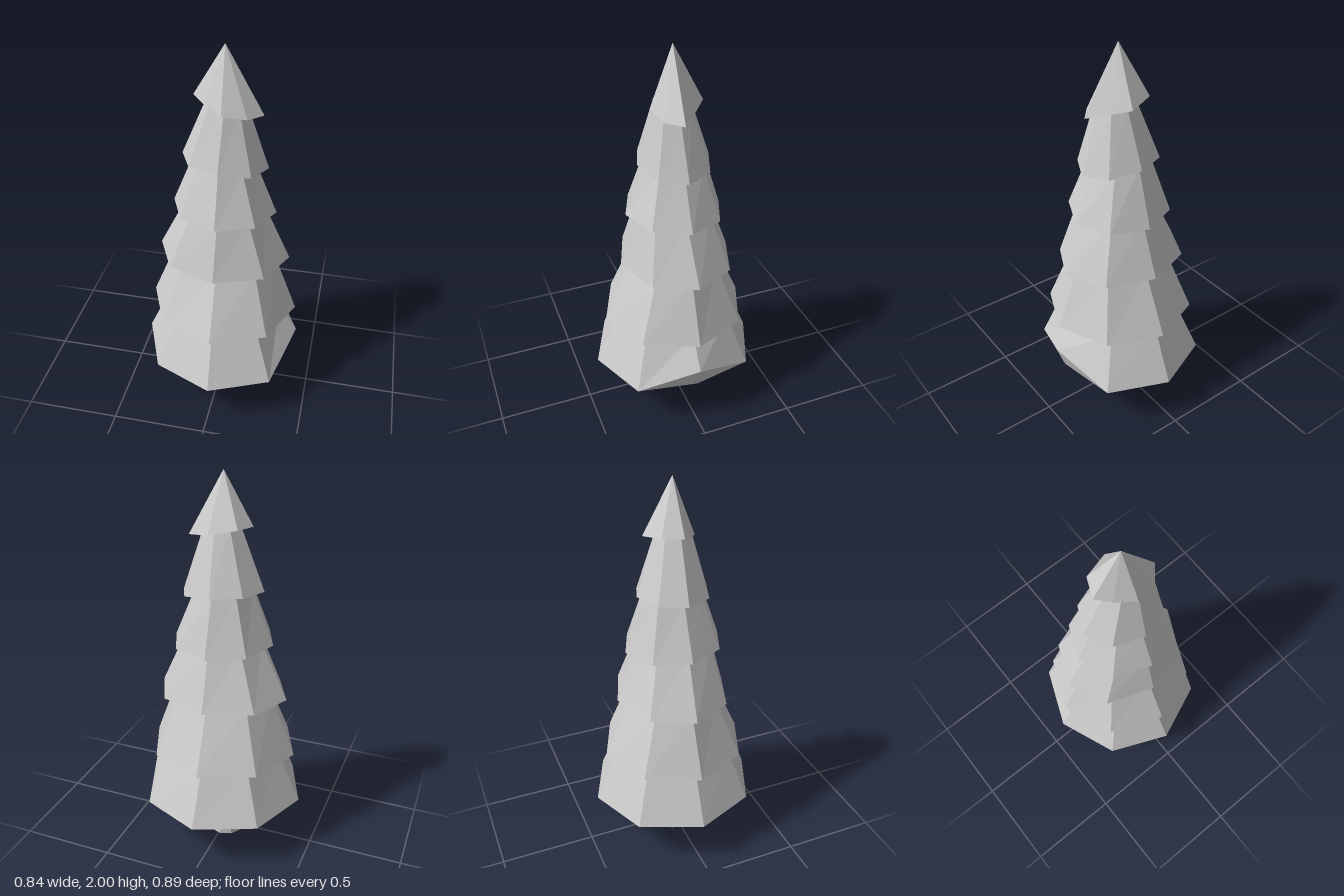
import * as THREE from 'three';

const SIDES = 8;

// Eight-sided ring spanning x0..x1 and z0..z1; height is a number or a rule of x and z
function ring(x0, x1, z0, z1, height) {
  const points = [];
  for (let i = 0; i < SIDES; i++) {
    const a = (i / SIDES) * Math.PI * 2;
    const x = (x0 + x1) / 2 + (Math.cos(a) * (x1 - x0)) / 2;
    const z = (z0 + z1) / 2 + (Math.sin(a) * (z1 - z0)) / 2;
    const y = typeof height === 'function' ? height(x, z) : height;
    points.push(new THREE.Vector3(x, y, z));
  }
  return points;
}

// Skin a stack of rings (lowest first) and close the underside
function loft(rings) {
  const pos = [];
  const tri = (a, b, c) => {
    if (a.equals(b) || b.equals(c) || a.equals(c)) return;
    for (const p of [a, b, c]) pos.push(p.x, p.y, p.z);
  };
  const centre = new THREE.Vector3();
  rings[0].forEach((p) => centre.addScaledVector(p, 1 / SIDES));
  for (let i = 0; i < SIDES; i++) {
    const j = (i + 1) % SIDES;
    tri(centre, rings[0][i], rings[0][j]);
    for (let k = 0; k < rings.length - 1; k++) {
      const lo = rings[k], hi = rings[k + 1];
      tri(lo[i], hi[i], lo[j]);
      tri(lo[j], hi[i], hi[j]);
    }
  }
  const geometry = new THREE.BufferGeometry();
  geometry.setAttribute('position', new THREE.Float32BufferAttribute(pos, 3));
  geometry.computeVertexNormals();
  return geometry;
}

export function createModel() {
  const tree = new THREE.Group();
  tree.name = 'pineTree';
  const material = new THREE.MeshStandardMaterial({ color: 0xcccccc, flatShading: true });
  const add = (name, geometry) => {
    const mesh = new THREE.Mesh(geometry, material);
    mesh.name = name;
    tree.add(mesh);
    return mesh;
  };

  // Trunk
  add('trunk', new THREE.CylinderGeometry(0.1, 0.1, 0.27, 10)).position.set(-0.01, 0.135, -0.02);

  // Lowest tier, with one corner bent up
  const base = ring(-0.423, 0.45, -0.447, 0.443, 0.26);
  const hem = base.map((p) => p.clone());
  base[0].set(0.38, 0.26, 0);
  hem[0].set(0.42, 0.38, 0);
  add('branchTier1', loft([base, hem, ring(-0.295, 0.318, -0.322, 0.322, 0.545)]));

  // Middle tiers: lower ring, upper ring
  const tiers = [
    [[-0.383, 0.405, -0.383, 0.38, 0.54], [-0.25, 0.28, -0.235, 0.23, 0.87]],
    [[-0.335, 0.355, -0.308, 0.284, 0.865], [-0.19, 0.222, -0.2, 0.205, 1.16]],
    [[-0.252, 0.277, -0.255, 0.25, (x, z) => 1.148 - 0.02 * x + 0.05 * z],
      [-0.14, 0.165, -0.163, 0.155, (x) => 1.435 - 0.18 * Math.max(0, x)]],
    [[-0.2, 0.23, -0.188, 0.184, (x) => 1.43 - 0.17 * Math.max(0, x)],
      [-0.07, 0.125, -0.085, 0.1, (x) => 1.73 - 0.2 * x]],
  ];
  tiers.forEach(([lower, upper], i) =>
    add(`branchTier${i + 2}`, loft([ring(...lower), ring(...upper)])));

  // Crooked, tilted tip
  const rim = [
    [0.2, 0.008], [0.134, 0.085], [0.018, 0.117], [-0.075, 0.058],
    [-0.138, 0], [-0.095, -0.098], [0.038, -0.143], [0.11, -0.079],
  ].map(([x, z]) => new THREE.Vector3(x, 1.715 - 0.21 * x - 0.1 * z, z));
  const apex = new THREE.Vector3(0.013, 2, 0);
  add('treeTip', loft([rim, Array(SIDES).fill(apex)]));

  return tree;
}
